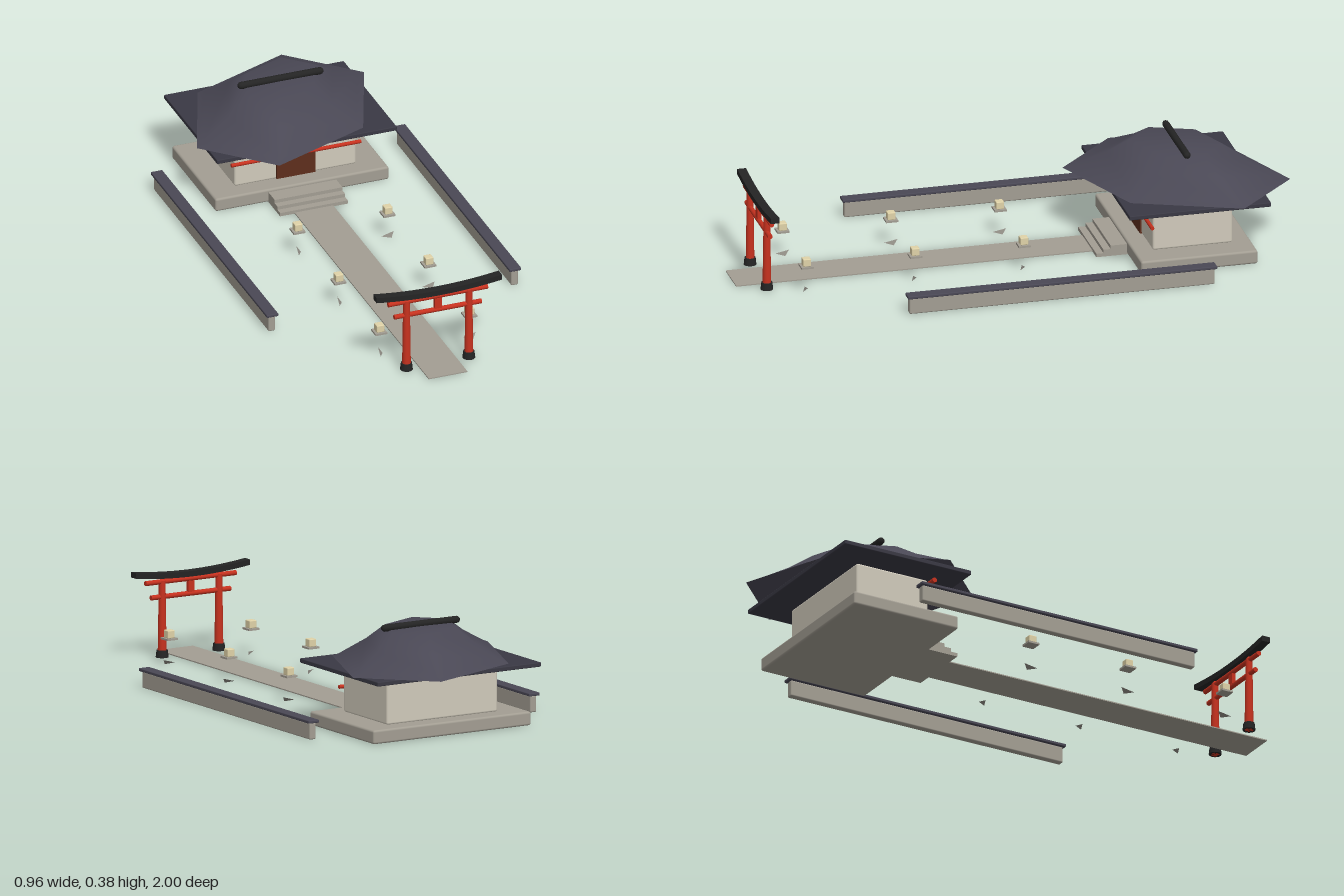
import * as THREE from 'three';
import { RoundedBoxGeometry } from 'three/addons/geometries/RoundedBoxGeometry.js';

const mat = (color, extra = {}) => {
  const m = new THREE.MeshStandardMaterial({ color, ...extra });
  return m;
};

export function createModel() {
  const model = new THREE.Group();
  const stone = mat(0xa39e93), plaster = mat(0xd0cabb), slate = mat(0x4a4855);
  const black = mat(0x242424), red = mat(0xc8321f), wood = mat(0x5e2e1c), cream = mat(0xe0d3a8);
  const roofMat = mat(0x4a4855, { side: THREE.DoubleSide });
  const lanternRed = mat(0xc8321f, { flatShading: true });
  const shardMat = mat(0x8d8a82, { side: THREE.DoubleSide });
  const CZ = -0.62; // centre of the hall

  const add = (name, geo, material, x = 0, y = 0, z = 0, parent = model) => {
    const m = new THREE.Mesh(geo, material);
    m.name = name;
    m.position.set(x, y, z);
    parent.add(m);
    return m;
  };
  const box = (name, w, h, d, material, x, y, z, parent) =>
    add(name, new THREE.BoxGeometry(w, h, d), material, x, y, z, parent);
  const bevelBox = (name, w, h, d, r, material, x, y, z) =>
    add(name, new RoundedBoxGeometry(w, h, d, 2, r), material, x, y, z);
  // round bar lying along x
  const bar = (name, len, r, material, y, z, parent) =>
    add(name, new THREE.CylinderGeometry(r, r, len, 10).rotateZ(Math.PI / 2), material, 0, y, z, parent);

  // Path and steps
  box('path', 0.146, 0.004, 1.36, stone, 0, 0.002, 0.32);
  for (let i = 0; i < 3; i++) {
    const front = -0.296 - i * 0.026, h = 0.013 * (i + 1);
    box('step', 0.256, h, front + 0.42, stone, 0, h / 2, (front - 0.42) / 2);
  }

  // Hall
  bevelBox('platform', 0.656, 0.05, 0.424, 0.008, stone, 0, 0.025, CZ);
  bevelBox('hallWalls', 0.46, 0.165, 0.29, 0.008, plaster, 0, 0.1305, CZ);
  box('door', 0.146, 0.12, 0.012, wood, 0, 0.11, -0.475);
  bar('upperBeam', 0.51, 0.009, red, 0.208, -0.462);
  bar('lowerBeam', 0.49, 0.007, red, 0.138, -0.47);
  bevelBox('eaves', 0.68, 0.016, 0.515, 0.003, slate, 0, 0.225, CZ).material = mat(0x3a3944);

  // Hanging lanterns under the front eave
  for (const x of [-0.197, -0.066, 0.066, 0.197]) {
    const body = add('hangingLantern', new THREE.SphereGeometry(0.014, 6, 4), lanternRed, x, 0.197, -0.433);
    body.scale.y = 1.25;
  }

  // Six-sided roof, stretched along one diagonal
  const R = 0.318;
  const profile = [[1, 0.235], [0.92, 0.247], [0.62, 0.304], [0.41, 0.356], [0, 0.358]]
    .map(([r, y]) => new THREE.Vector2(r * R, y));
  const roofGeo = new THREE.LatheGeometry(profile, 6);
  roofGeo.scale(1.35, 1, 1).rotateY(Math.PI / 4);
  add('roof', roofGeo, roofMat, 0, 0, CZ);
  add('ridge', new THREE.CapsuleGeometry(0.013, 0.298, 3, 10).rotateZ(Math.PI / 2), black, 0, 0.364, CZ);

  // Gate
  const gate = new THREE.Group();
  gate.name = 'gate';
  gate.position.z = 0.9;
  model.add(gate);
  for (const s of [-1, 1]) {
    add('gatePost', new THREE.CylinderGeometry(0.012, 0.016, 0.275, 12), red, s * 0.118, 0.1375, 0, gate);
    add('postTip', new THREE.ConeGeometry(0.012, 0.014, 12), red, s * 0.118, 0.282, 0, gate);
    add('postBase', new THREE.CylinderGeometry(0.02, 0.023, 0.026, 12), black, s * 0.118, 0.013, 0, gate);
  }
  bar('gateUpperBeam', 0.376, 0.009, red, 0.271, 0, gate);
  bar('gateTieBeam', 0.33, 0.009, red, 0.217, 0, gate);
  box('gateStrut', 0.026, 0.04, 0.014, red, 0, 0.243, 0, gate);
  // curved top beam, rising at both ends
  const lintel = new THREE.BoxGeometry(0.474, 0.02, 0.032, 16, 1, 1);
  const p = lintel.attributes.position;
  for (let i = 0; i < p.count; i++) {
    p.setY(i, p.getY(i) + 0.016 * (p.getX(i) / 0.237) ** 2);
  }
  lintel.computeVertexNormals();
  add('gateLintel', lintel, black, 0, 0.29, 0, gate);

  // Lanterns along the path, with a stone chip on the ground under each
  const chip = new THREE.BufferGeometry();
  chip.setAttribute('position', new THREE.Float32BufferAttribute(
    [-0.024, 0.006, 0, 0.024, 0.019, 0, 0.01, 0.001, 0.014], 3));
  chip.computeVertexNormals();
  for (const s of [-1, 1]) {
    for (const z of [-0.02, 0.375, 0.77]) {
      box('lanternBase', 0.044, 0.007, 0.044, stone, s * 0.17, 0.094, z);
      bevelBox('lanternBox', 0.029, 0.028, 0.029, 0.003, cream, s * 0.17, 0.111, z);
      add('stoneChip', chip, shardMat, s * 0.17, 0, z).rotation.y = s < 0 ? 1.4 : 0;
    }
  }

  // Side walls with caps
  for (const s of [-1, 1]) {
    bevelBox('sideWall', 0.026, 0.06, 1.11, 0.005, stone, s * 0.459, 0.03, -0.083);
    bevelBox('wallCap', 0.044, 0.011, 1.125, 0.003, slate, s * 0.459, 0.065, -0.083);
  }
  return model;
}
